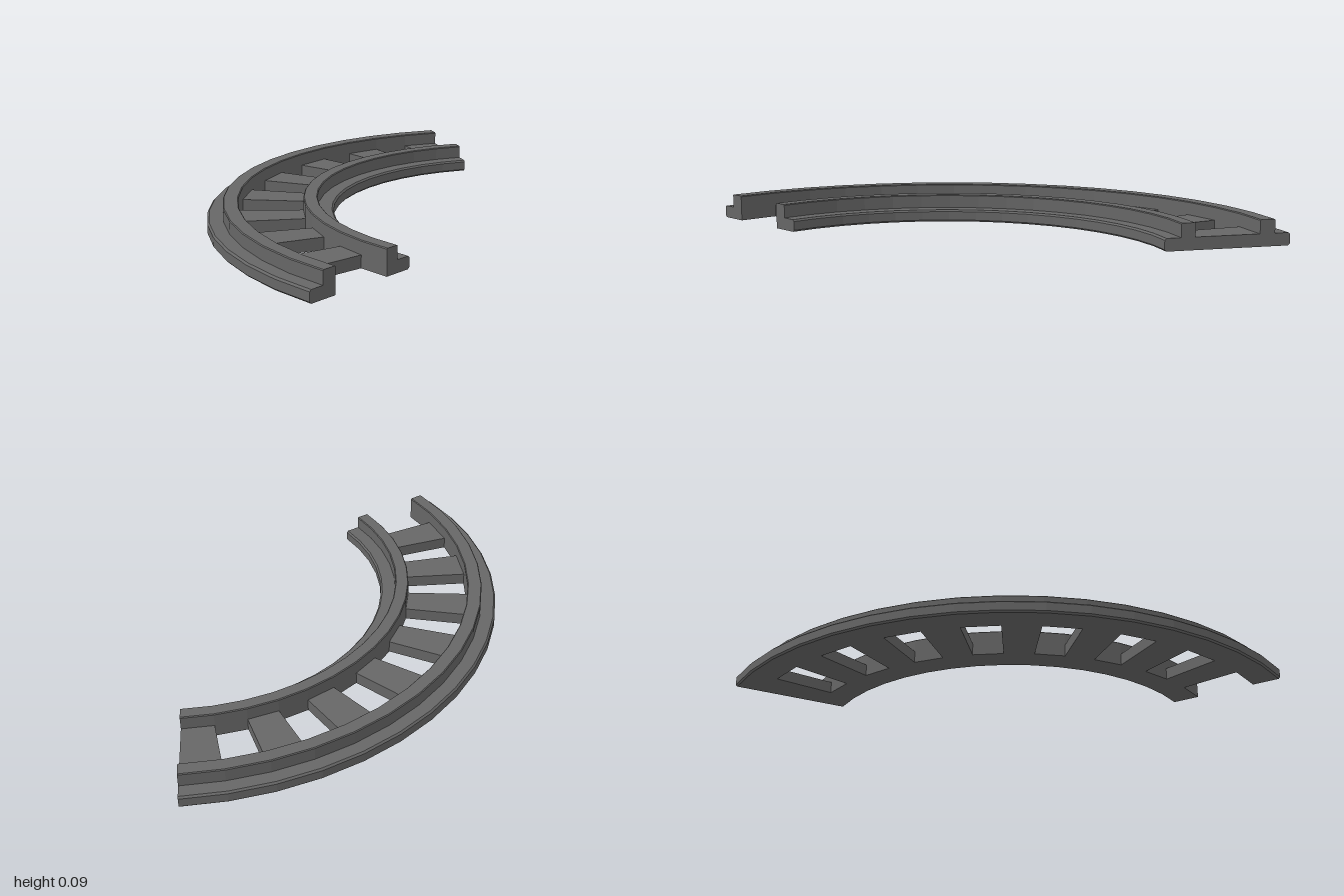
import * as THREE from 'three';

const CX = 0.76;        // x of the curve's centre
const STEP = 7.5;       // degrees per straight facet, also the width of a sleeper
const B = 0.006;        // small edge bevel

// Sweeps a counter-clockwise (radius, height) section along an arc about the curve centre, with end caps.
function sweepArc(section, fromDeg, toDeg) {
  const n = Math.round((toDeg - fromDeg) / STEP);
  const pos = [];
  const at = ([r, y], i) => {
    const a = THREE.MathUtils.degToRad(fromDeg + i * STEP);
    return [CX - r * Math.cos(a), y, r * Math.sin(a)];
  };
  const tri = (a, b, c) => pos.push(...a, ...b, ...c);
  for (let i = 0; i < n; i++) {
    section.forEach((p, k) => {
      const q = section[(k + 1) % section.length];
      tri(at(p, i), at(p, i + 1), at(q, i + 1));
      tri(at(p, i), at(q, i + 1), at(q, i));
    });
  }
  const outline = section.map(([r, y]) => new THREE.Vector2(r, y));
  for (const [a, b, c] of THREE.ShapeUtils.triangulateShape(outline, [])) {
    tri(at(section[a], 0), at(section[b], 0), at(section[c], 0));
    tri(at(section[a], n), at(section[c], n), at(section[b], n));
  }
  const g = new THREE.BufferGeometry();
  g.setAttribute('position', new THREE.Float32BufferAttribute(pos, 3));
  g.computeVertexNormals();
  return g;
}

// L-shaped rail: tall web between web and step radius, low flange from step to edge radius.
function railSection(web, step, edge) {
  const s = Math.sign(edge - step);
  const pts = [
    [web, 0], [edge - s * B, 0], [edge, B], [edge, 0.042 - B], [edge - s * B, 0.042],
    [step, 0.042], [step, 0.088 - B / 2], [step - s * B / 2, 0.088],
    [web + s * B / 2, 0.088], [web, 0.088 - B / 2],
  ];
  return s > 0 ? pts : pts.reverse();
}

export function createModel() {
  const track = new THREE.Group();
  track.name = 'curvedTrack';
  const material = new THREE.MeshStandardMaterial({ color: 0x666666, flatShading: true });
  const add = (name, geometry) => {
    const mesh = new THREE.Mesh(geometry, material);
    mesh.name = name;
    track.add(mesh);
  };

  // Rails, with flanges facing away from each other
  add('outerRail', sweepArc(railSection(1.05, 1.102, 1.155), -60, 60));
  add('innerRail', sweepArc(railSection(0.83, 0.782, 0.727), -60, 60));

  // Wedge-shaped sleepers, the first flush with the back end
  const sleeper = [[0.83, 0], [1.05, 0], [1.05, 0.042], [0.83, 0.042]];
  for (let i = 0; i < 8; i++) {
    const start = -60 + i * 2 * STEP;
    add('sleeper' + (i + 1), sweepArc(sleeper, start, start + STEP));
  }
  return track;
}
